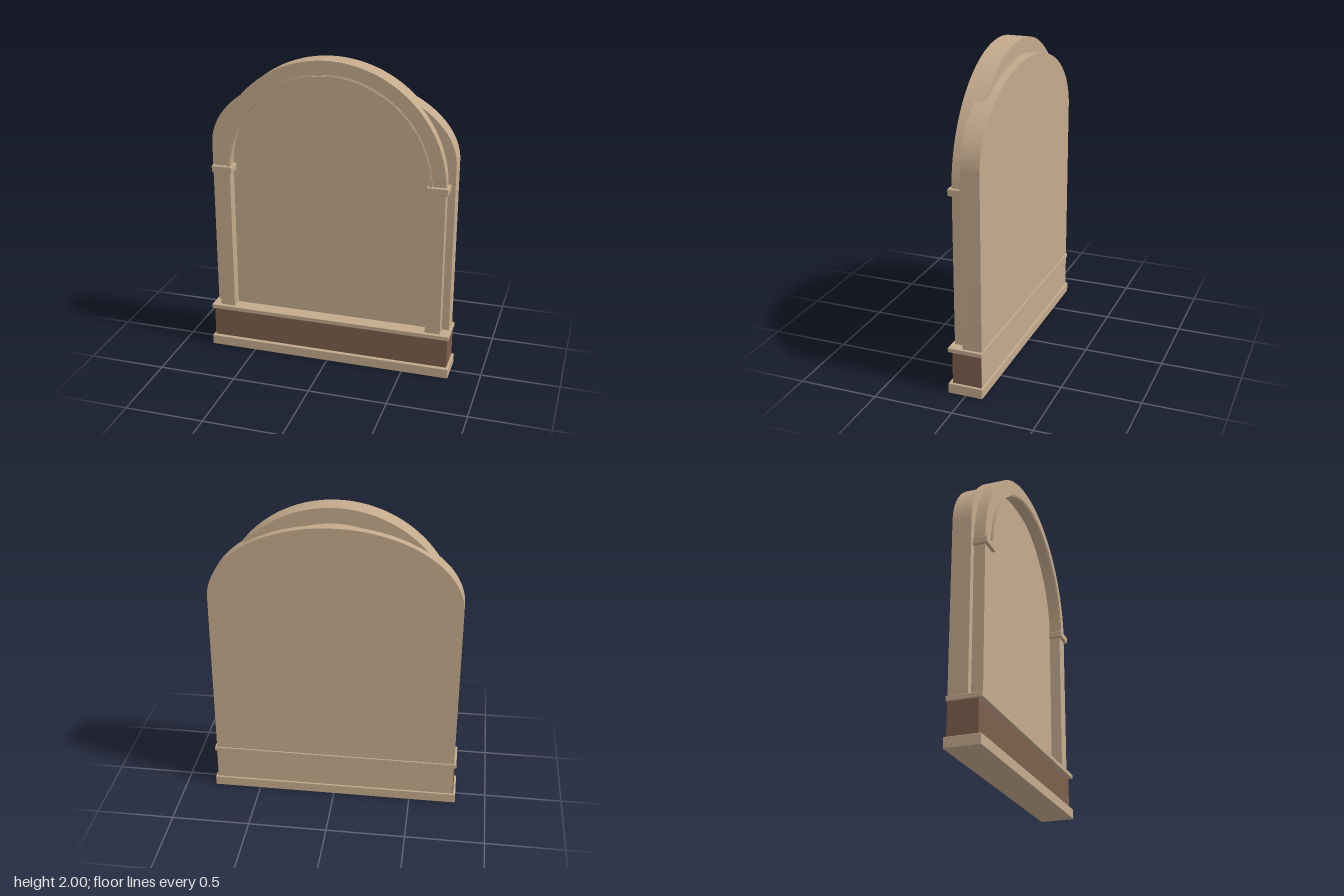
import * as THREE from 'three';
import { toCreasedNormals } from 'three/addons/utils/BufferGeometryUtils.js';
import { RoundedBoxGeometry } from 'three/addons/geometries/RoundedBoxGeometry.js';

const stone = new THREE.MeshStandardMaterial({ name: 'tan stone', color: 0xc3a98c });
const brown = new THREE.MeshStandardMaterial({ name: 'brown panel', color: 0x7d5f4c });

export function createModel() {
  const model = new THREE.Group();
  model.name = 'archedNiche';

  const add = (name, geometry, material = stone) => {
    const mesh = new THREE.Mesh(geometry, material);
    mesh.name = name;
    model.add(mesh);
  };

  // Box given by its limits on each axis, optionally with softened edges
  const block = (name, [x0, x1], [y0, y1], [z0, z1], radius = 0, material = stone) => {
    const size = [x1 - x0, y1 - y0, z1 - z0];
    const geometry = radius
      ? new RoundedBoxGeometry(...size, 2, radius)
      : new THREE.BoxGeometry(...size);
    add(name, geometry.translate((x0 + x1) / 2, (y0 + y1) / 2, (z0 + z1) / 2), material);
  };

  const extrude = (name, shape, z0, z1) => {
    const geometry = new THREE.ExtrudeGeometry(shape, {
      depth: z1 - z0, bevelEnabled: false, curveSegments: 64,
    });
    add(name, toCreasedNormals(geometry.translate(0, 0, z0), 0.5));
  };

  // Half ring standing on the spring line of the arch
  const springY = 1.26;
  const halfRing = (outer, inner) => {
    const shape = new THREE.Shape();
    shape.absarc(0, springY, outer, 0, Math.PI, false);
    shape.absarc(0, springY, inner, Math.PI, 0, true);
    shape.closePath();
    return shape;
  };

  // Back slab with a half-elliptical top
  const slab = new THREE.Shape();
  slab.moveTo(-0.783, 0.02);
  slab.lineTo(0.783, 0.02);
  slab.lineTo(0.783, 1.4);
  slab.absellipse(0, 1.4, 0.783, 0.493, 0, Math.PI, false, 0);
  slab.closePath();
  extrude('backSlab', slab, -0.1, 0.02);

  // Arch and the thin raised trim along its inner edge
  extrude('arch', halfRing(0.74, 0.643), -0.048, 0.09);
  extrude('archTrim', halfRing(0.655, 0.635), 0.07, 0.098);
  extrude('archTrimBead', halfRing(0.65, 0.641), 0.09, 0.104);

  // Pillars with capitals
  for (const side of [-1, 1]) {
    const span = (a, b) => (side > 0 ? [a, b] : [-b, -a]);
    const label = side > 0 ? 'left' : 'right';
    block(`${label}Pillar`, span(0.642, 0.738), [0.295, 1.25], [0, 0.09]);
    block(`${label}Capital`, span(0.623, 0.757), [1.238, 1.282], [0, 0.11], 0.005);
  }

  // Plinth: foot, brown panel and ledge
  block('foot', [-0.803, 0.803], [0, 0.066], [-0.11, 0.11], 0.005);
  block('plinthPanel', [-0.788, 0.788], [0.06, 0.275], [-0.098, 0.086], 0, brown);
  block('ledge', [-0.798, 0.798], [0.27, 0.3], [-0.106, 0.112], 0.005);

  return model;
}
